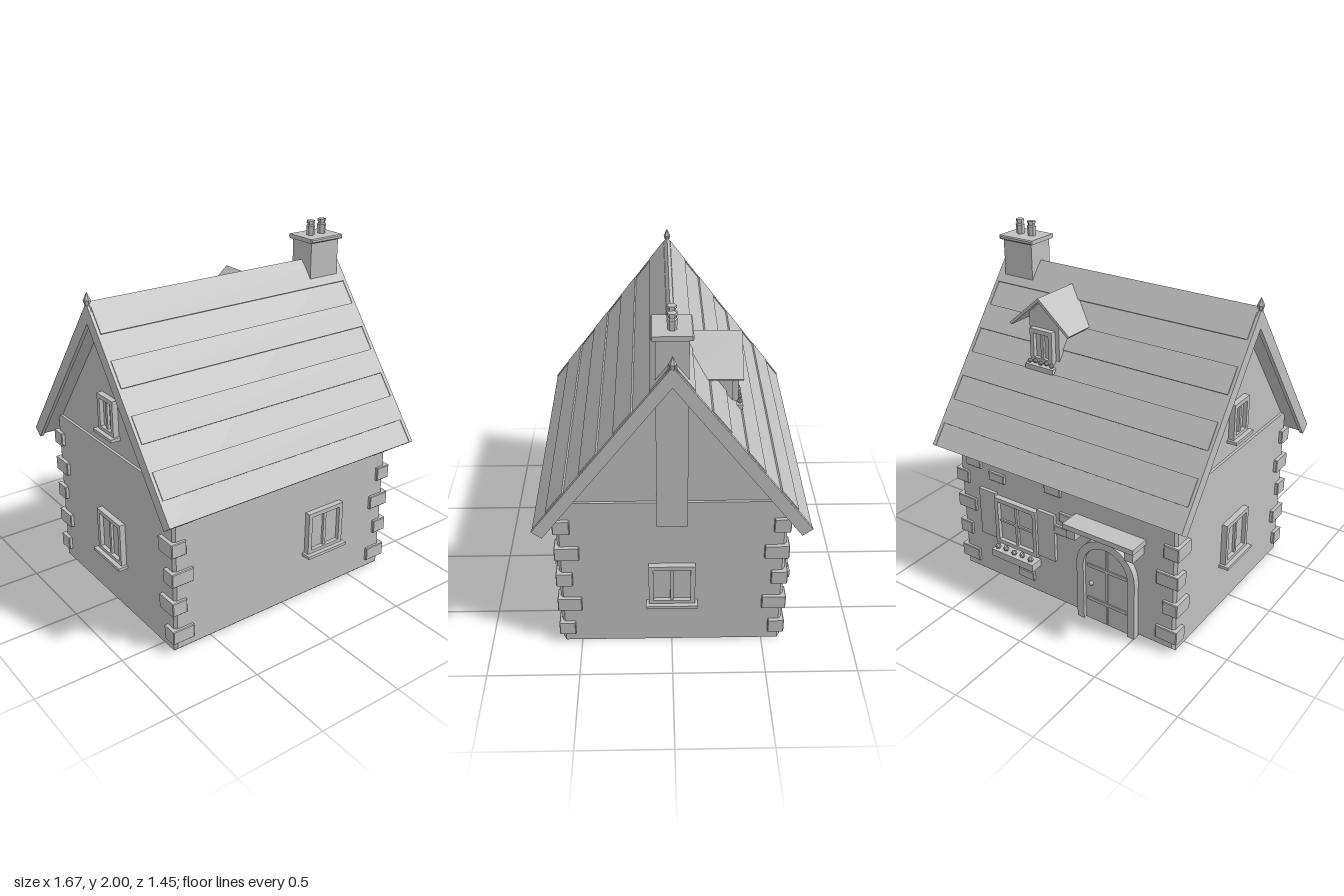
import * as THREE from 'three';

const stone = new THREE.MeshStandardMaterial({ color: 0xc0c0c0 });
stone.name = 'plain grey';

// Small helpers
function add(parent, name, geo, x = 0, y = 0, z = 0) {
  const mesh = new THREE.Mesh(geo, stone);
  mesh.name = name;
  mesh.position.set(x, y, z);
  parent.add(mesh);
  return mesh;
}
const box = (w, h, d) => new THREE.BoxGeometry(w, h, d);
const poly = (pts) => new THREE.Shape(pts.map(([x, y]) => new THREE.Vector2(x, y)));
const rect = (w, h) => poly([[-w / 2, -h / 2], [w / 2, -h / 2], [w / 2, h / 2], [-w / 2, h / 2]]);
const extrude = (shape, depth) => new THREE.ExtrudeGeometry(shape, { depth, bevelEnabled: false, curveSegments: 10 });
const flat = (geo) => {
  const g = geo.toNonIndexed();
  g.computeVertexNormals();
  return g;
};

// Box with chamfered edges
function bevelBox(w, h, d, b) {
  const geo = new THREE.ExtrudeGeometry(rect(w - 2 * b, h - 2 * b), {
    depth: d - 2 * b, bevelSize: b, bevelThickness: b, bevelSegments: 1,
  });
  return geo.translate(0, 0, -(d - 2 * b) / 2);
}

// Inverted V roof section of even thickness, extruded along z and centred
function chevron(apex, run, drop, t, length) {
  const L = Math.hypot(run, drop);
  const ix = run - t * drop / L, iy = apex - drop - t * run / L;
  const shape = poly([[0, apex], [-run, apex - drop], [-ix, iy], [0, apex - t * L / run], [ix, iy], [run, apex - drop]]);
  return extrude(shape, length).translate(0, 0, -length / 2);
}

// Framed window facing +z, with its back on z = 0
function makeWindow(name, w, h, rows, sill) {
  const g = new THREE.Group();
  g.name = name;
  const outline = rect(w, h), f = 0.025;
  outline.holes.push(rect(w - 2 * f, h - 2 * f));
  add(g, 'windowFrame', extrude(outline, 0.035));
  add(g, 'windowPane', box(w - f, h - f, 0.009), 0, 0, 0.007);
  add(g, 'mullion', box(0.018, h - 2 * f, 0.026), 0, 0, 0.013);
  for (let i = 1; i < rows; i++) {
    add(g, 'glazingBar', box(w - 2 * f, 0.014, 0.02), 0, -h / 2 + (h * i) / rows, 0.012);
  }
  if (sill) add(g, 'windowSill', box(w + 0.03, 0.018, 0.06), 0, -h / 2 - 0.004, 0.03);
  return g;
}

// Planter with a row of blossoms, facing +z
function makePlanter(name, w, h, d, r) {
  const g = new THREE.Group();
  g.name = name;
  add(g, 'planterBox', box(w, h, d), 0, 0, d / 2);
  for (let i = 0; i < 5; i++) {
    const x = (i - 2) * w * 0.2;
    add(g, 'blossom', flat(new THREE.IcosahedronGeometry(r, 0)), x, h / 2 + r + (i % 2) * 0.006, d * 0.72);
  }
  return g;
}

function place(parent, child, x, y, z, turn = 0) {
  child.position.set(x, y, z);
  child.rotation.y = turn;
  parent.add(child);
}

export function createModel() {
  const house = new THREE.Group();
  house.name = 'cottage';
  const APEX = 1.78, RUN = 0.72, DROP = 0.945, SLOPE = DROP / RUN, TILT = Math.atan(SLOPE);

  // Walls and gable ends
  add(house, 'walls', bevelBox(1.47, 0.945, 1.21, 0.015), 0, 0.4725, 0);
  const gable = poly([[-0.58, 0.93], [0.58, 0.93], [0, 1.7]]);
  add(house, 'gables', extrude(gable, 1.44).translate(0, 0, -0.72).rotateY(Math.PI / 2));

  // Corner stones, alternating long and short
  for (const sx of [-1, 1]) for (const sz of [-1, 1]) for (let i = 0; i < 5; i++) {
    const w = i % 2 ? 0.09 : 0.132, d = i % 2 ? 0.132 : 0.09;
    add(house, 'cornerStone', bevelBox(w, 0.08, d, 0.004), sx * (0.756 - w / 2), 0.1 + i * 0.175, sz * (0.622 - d / 2));
  }

  // Roof with verge boards, tile bands, ridge cap and finials
  add(house, 'roof', chevron(APEX - 0.006, RUN - 0.003, DROP - 0.004, 0.05, 1.62).rotateY(Math.PI / 2));
  for (const s of [-1, 1]) {
    add(house, 'vergeBoard', chevron(APEX, RUN, DROP, 0.067, 0.022).rotateY(Math.PI / 2), s * 0.816, 0, 0);
    add(house, 'finial', flat(new THREE.LatheGeometry(
      [[0, -0.04], [0.012, -0.025], [0.02, 0.002], [0, 0.045]].map(([x, y]) => new THREE.Vector2(x, y)), 6)), s * 0.82, 1.79, 0);
    for (let i = 0; i < 4; i++) {
      const z = 0.59 - i * 0.177;
      const band = add(house, 'tileBand', box(1.62, 0.016, 0.09 / Math.cos(TILT)), 0, APEX - 0.004 - z * SLOPE, s * z);
      band.rotation.x = s * TILT;
    }
  }
  add(house, 'ridgeCap', chevron(APEX + 0.004, 0.032, 0.042, 0.014, 1.63).rotateY(Math.PI / 2));

  // Chimney stack, running down the outside of one gable
  add(house, 'chimneyStack', box(0.2, 1.08, 0.16), 0.672, 1.36, 0);
  add(house, 'chimneyCap', bevelBox(0.235, 0.024, 0.2, 0.006), 0.672, 1.905, 0);
  const pot = [[0, 0], [0.022, 0], [0.026, 0.055], [0.02, 0.062], [0.02, 0.07], [0.024, 0.072], [0.024, 0.085], [0, 0.085]];
  for (const x of [0.631, 0.713]) {
    add(house, 'chimneyPot', flat(new THREE.LatheGeometry(pot.map(([a, b]) => new THREE.Vector2(a, b)), 6)), x, 1.915, 0);
  }

  // Ground floor windows on three sides and one in the gable
  place(house, makeWindow('frontWindow', 0.25, 0.26, 1, true), 0.265, 0.415, 0.603);
  place(house, makeWindow('leftWindow', 0.25, 0.26, 1, true), 0.733, 0.415, 0, Math.PI / 2);
  place(house, makeWindow('rightWindow', 0.25, 0.26, 1, true), -0.733, 0.415, 0, -Math.PI / 2);
  place(house, makeWindow('gableWindow', 0.16, 0.21, 1, true), -0.718, 1.15, 0, -Math.PI / 2);

  // Back wall: built in its own frame, facing +z, then turned round
  const back = new THREE.Group();
  back.name = 'backWallDetails';
  place(house, back, 0, 0, -0.603, Math.PI);

  // Shuttered window with planter
  place(back, makeWindow('backWindow', 0.3, 0.3, 2, false), -0.31, 0.42, 0);
  for (const s of [-1, 1]) {
    add(back, 'shutter', box(0.12, 0.3, 0.022), -0.31 + s * 0.212, 0.435, 0.011);
  }
  place(back, makePlanter('windowPlanter', 0.3, 0.045, 0.08, 0.018), -0.31, 0.222, 0);

  // Arched door
  const door = new THREE.Group();
  door.name = 'door';
  place(back, door, 0.315, 0, 0);
  const arch = (r, spring) => {
    const s = new THREE.Shape();
    s.moveTo(-r, 0);
    s.lineTo(r, 0);
    s.lineTo(r, spring);
    s.absarc(0, spring, r, 0, Math.PI, false);
    s.closePath();
    return s;
  };
  const surround = new THREE.Shape();
  surround.moveTo(0.19, 0);
  surround.lineTo(0.19, 0.36);
  surround.absarc(0, 0.36, 0.19, 0, Math.PI, false);
  surround.lineTo(-0.19, 0);
  surround.lineTo(-0.145, 0);
  surround.lineTo(-0.145, 0.36);
  surround.absarc(0, 0.36, 0.145, Math.PI, 0, true);
  surround.lineTo(0.145, 0);
  surround.closePath();
  add(door, 'doorSurround', extrude(surround, 0.04));
  add(door, 'doorLeaf', extrude(arch(0.146, 0.36), 0.02));
  add(door, 'doorBatten', box(0.012, 0.49, 0.008), 0, 0.25, 0.022);
  for (const y of [0.14, 0.36]) add(door, 'doorStrap', box(0.26, 0.02, 0.008), 0, y, 0.023);
  add(door, 'doorKnob', new THREE.SphereGeometry(0.013, 10, 8), -0.1, 0.25, 0.03);

  // Canopy on two brackets
  add(back, 'canopy', box(0.45, 0.03, 0.124), 0.325, 0.628, 0.062);
  for (const s of [-1, 1]) add(back, 'canopyBracket', box(0.055, 0.065, 0.105), 0.325 + s * 0.185, 0.582, 0.0525);

  // Stones standing proud of the wall
  for (const [x, y] of [[-0.62, 0.74], [-0.45, 0.69], [-0.05, 0.74], [-0.26, 0.11], [0.0, 0.5], [0.05, 0.59]]) {
    add(back, 'wallStone', bevelBox(0.11, 0.055, 0.03, 0.004), x, y, 0.005);
  }

  // Dormer on the back slope
  const dormer = new THREE.Group();
  dormer.name = 'dormer';
  place(house, dormer, 0.305, 0, 0);
  const body = poly([[-0.1, 1.28], [0.1, 1.28], [0.1, 1.605], [0, 1.69], [-0.1, 1.605]]);
  add(dormer, 'dormerBody', extrude(body, 0.21), 0, 0, -0.32);
  add(dormer, 'dormerRoof', chevron(1.71, 0.203, 0.175, 0.016, 0.305), 0, 0, -0.2125);
  place(dormer, makeWindow('dormerWindow', 0.15, 0.19, 1, false), 0, 1.43, -0.318, Math.PI);
  place(dormer, makePlanter('dormerPlanter', 0.19, 0.035, 0.06, 0.014), 0, 1.305, -0.318, Math.PI);

  return house;
}
